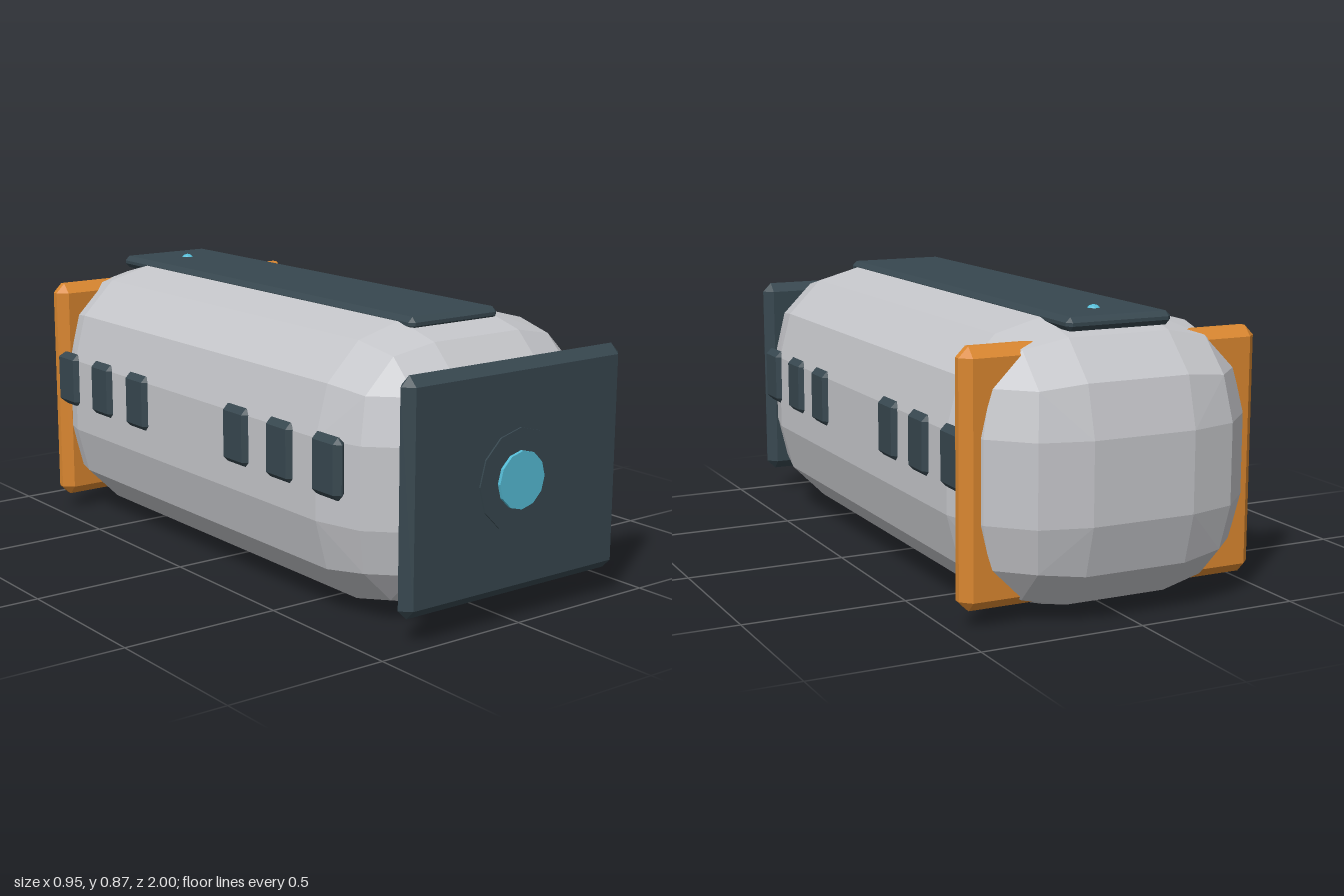
import * as THREE from 'three';
import { ConvexGeometry } from 'three/addons/geometries/ConvexGeometry.js';

const mat = (name, color) => {
  const m = new THREE.MeshStandardMaterial({ color });
  m.name = name;
  return m;
};

// Unit directions on one rounded corner: one step is a plain chamfer, three steps a faceted round
function cornerDirections(steps) {
  const dirs = [];
  for (let axis = 0; axis < 3; axis++) {
    for (let i = 0; i < steps; i++) {
      const a = (i / steps) * Math.PI / 2;
      const d = [0, 0, 0];
      d[axis] = Math.cos(a);
      d[(axis + 1) % 3] = Math.sin(a);
      dirs.push(new THREE.Vector3(...d));
    }
    if (steps > 1) {
      const d = [0.5, 0.5, 0.5];
      d[axis] = Math.cos(Math.PI / 6);
      dirs.push(new THREE.Vector3(...d).normalize());
    }
  }
  return dirs;
}

// Faceted box with bevelled edges and corners
function bevelBox(w, h, d, r, steps = 1) {
  const points = [];
  for (const sx of [-1, 1]) for (const sy of [-1, 1]) for (const sz of [-1, 1]) {
    for (const v of cornerDirections(steps)) {
      points.push(new THREE.Vector3(
        sx * (w / 2 - r + r * v.x),
        sy * (h / 2 - r + r * v.y),
        sz * (d / 2 - r + r * v.z)));
    }
  }
  return new ConvexGeometry(points);
}

// Flat-faced copy of a geometry
function faceted(geometry) {
  const g = geometry.index ? geometry.toNonIndexed() : geometry;
  g.computeVertexNormals();
  return g;
}

// Twelve-sided disc facing +z
const disc = (radius, depth) =>
  faceted(new THREE.CylinderGeometry(radius, radius, depth, 12).rotateX(Math.PI / 2));

export function createModel() {
  const hullGrey = mat('hull grey', 0xc4c5c9);
  const slate = mat('slate', 0x37474f);
  const orange = mat('orange', 0xd9862f);
  const cyan = mat('cyan', 0x55bcd6);

  const model = new THREE.Group();
  model.name = 'capsule';
  const add = (name, geometry, material, x, y, z) => {
    const mesh = new THREE.Mesh(geometry, material);
    mesh.name = name;
    mesh.position.set(x, y, z);
    model.add(mesh);
  };

  // Rounded hull and the collar crossing it near the back
  add('hull', bevelBox(0.92, 0.84, 1.95, 0.3, 3), hullGrey, 0, 0.42, -0.025);
  add('rearCollar', bevelBox(0.95, 0.74, 0.08, 0.03), orange, 0, 0.42, -0.8);

  // Front plate with its round port
  add('frontPlate', bevelBox(0.82, 0.68, 0.06, 0.029), slate, 0, 0.42, 0.955);
  add('portRing', disc(0.15, 0.03), slate, 0, 0.42, 0.975);
  add('portLens', disc(0.085, 0.03), cyan, 0, 0.42, 0.985);

  // Roof panel and beacon
  add('roofPanel', bevelBox(0.335, 0.04, 1.57, 0.015), slate, 0, 0.835, -0.075);
  add('beacon', faceted(new THREE.IcosahedronGeometry(0.025, 1)), cyan, 0, 0.84, -0.705);

  // Two groups of three windows on each side
  const windowGeometry = bevelBox(0.04, 0.18, 0.13, 0.018);
  for (const side of [-1, 1]) {
    for (const z of [0.7, 0.48, 0.26, -0.3, -0.52, -0.74]) {
      add(side > 0 ? 'leftWindow' : 'rightWindow', windowGeometry, slate, side * 0.455, 0.47, z);
    }
  }
  return model;
}
